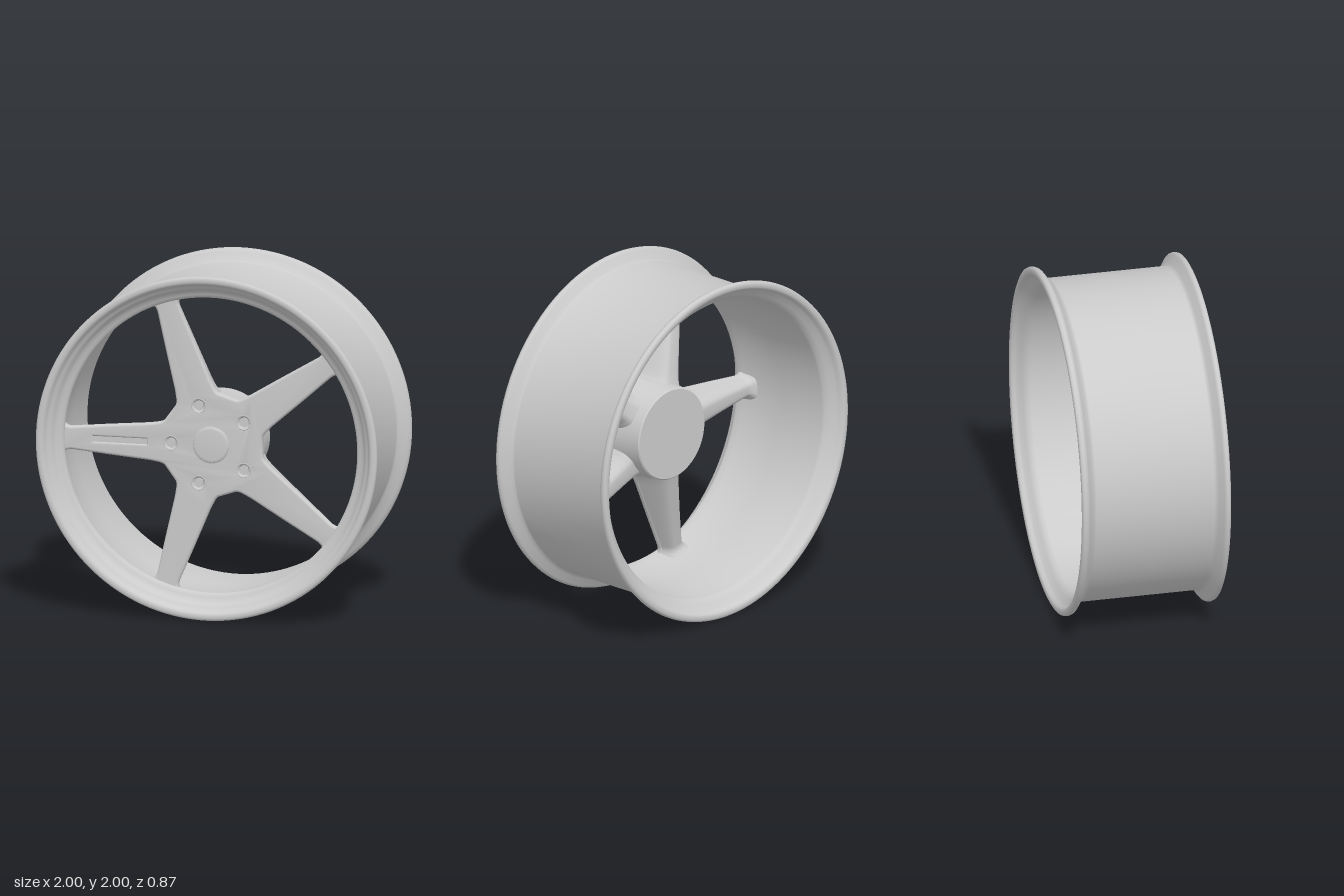
import * as THREE from 'three';
import { toCreasedNormals } from 'three/addons/utils/BufferGeometryUtils.js';

const material = new THREE.MeshStandardMaterial({ color: 0xcccccc });
const SPOKES = 5;
const spokeAngle = i => Math.PI + (i * 2 * Math.PI) / SPOKES;

// Spoke stations: [radius, half width, z of the back face]
const STATIONS = [
  [0.274, 0.132, 0.07], [0.286, 0.124, 0.073], [0.305, 0.118, 0.08], [0.36, 0.109, 0.094],
  [0.6, 0.088, 0.15], [0.82, 0.067, 0.195], [0.845, 0.071, 0.196], [0.862, 0.085, 0.188], [0.885, 0.11, 0.17],
];
const FACE_Z = 0.31;

function add(parent, name, geometry) {
  const mesh = new THREE.Mesh(geometry, material);
  mesh.name = name;
  parent.add(mesh);
  return mesh;
}

// Lathe of [radius, z] points around the z axis
function turned(points, segments, crease) {
  const geometry = new THREE.LatheGeometry(points.map(p => new THREE.Vector2(...p)), segments);
  geometry.rotateX(Math.PI / 2);
  return toCreasedNormals(geometry, crease);
}

// Five-armed front plate with holes for the nuts and a slot in one arm
function facePlate() {
  const outline = [];
  const centre = new THREE.Vector2();
  for (let i = 0; i < SPOKES; i++) {
    const local = [
      ...STATIONS.map(([r, w]) => new THREE.Vector2(r, -w)),
      ...[...STATIONS].reverse().map(([r, w]) => new THREE.Vector2(r, w)),
    ];
    outline.push(...local.map(p => p.rotateAround(centre, spokeAngle(i))));
  }
  const shape = new THREE.Shape(outline);
  for (let i = 0; i < SPOKES; i++) {
    const a = spokeAngle(i);
    shape.holes.push(new THREE.Path().absarc(0.236 * Math.cos(a), 0.236 * Math.sin(a), 0.027, 0, Math.PI * 2, true));
  }
  shape.holes.push(new THREE.Path([[-0.69, -0.014], [-0.69, 0.014], [-0.38, 0.014], [-0.38, -0.014]].map(p => new THREE.Vector2(...p))));
  const bevel = 0.016, depth = 0.012;
  const geometry = new THREE.ExtrudeGeometry(shape, {
    depth, bevelThickness: bevel, bevelSize: bevel, bevelOffset: -bevel, bevelSegments: 5, curveSegments: 16,
  });
  geometry.translate(0, 0, FACE_Z - depth - bevel);
  return toCreasedNormals(geometry, 0.6);
}

// Tapered, rounded body behind one arm, lofted along +x
function spokeBody() {
  const positions = [], index = [], steps = 20, front = 0.29;
  const rows = [[0.2, 0.16, 0.05], ...STATIONS];
  rows.forEach(([r, w, back]) => {
    for (let j = 0; j <= steps; j++) {
      const t = (j / steps) * Math.PI;
      // Rounded trapezoid, narrower at the back
      const drop = Math.pow(Math.sin(t), 0.5);
      const side = Math.sign(Math.cos(t)) * Math.pow(Math.abs(Math.cos(t)), 0.5);
      positions.push(r, w * side * (1 - 0.32 * drop), front - (front - back) * drop);
    }
  });
  for (let i = 0; i < rows.length - 1; i++) {
    for (let j = 0; j < steps; j++) {
      const a = i * (steps + 1) + j, b = a + steps + 1;
      index.push(a, b, a + 1, b, b + 1, a + 1);
    }
  }
  const geometry = new THREE.BufferGeometry();
  geometry.setAttribute('position', new THREE.Float32BufferAttribute(positions, 3));
  geometry.setIndex(index);
  geometry.computeVertexNormals();
  return geometry;
}

export function createModel() {
  const model = new THREE.Group();
  model.name = 'wheelRim';
  const wheel = new THREE.Group();
  wheel.name = 'wheel';
  wheel.position.y = 1;
  model.add(wheel);

  // Barrel with flared lips: up the outside, back down the inside
  add(wheel, 'barrel', turned([
    [0.965, -0.432], [0.985, -0.433], [0.996, -0.427], [1, -0.412], [0.994, -0.396], [0.978, -0.385],
    [0.955, -0.37], [0.938, -0.354], [0.929, -0.345], [0.926, -0.335], [0.926, 0.35], [0.929, 0.36],
    [0.945, 0.37], [0.965, 0.385], [0.985, 0.396], [0.996, 0.404], [1, 0.416], [0.996, 0.428], [0.985, 0.433],
    [0.968, 0.432], [0.957, 0.427], [0.95, 0.412], [0.942, 0.396], [0.93, 0.388], [0.92, 0.38],
    [0.911, 0.362], [0.9, 0.348], [0.88, 0.338], [0.867, 0.332], [0.859, 0.322], [0.858, 0.31], [0.863, 0.27],
    [0.878, 0.2], [0.882, 0], [0.882, -0.33], [0.886, -0.35], [0.91, -0.374], [0.938, -0.395],
    [0.948, -0.408], [0.955, -0.426], [0.965, -0.432],
  ], 128, 0.9));

  // Spokes and hub
  add(wheel, 'facePlate', facePlate());
  const body = spokeBody();
  for (let i = 0; i < SPOKES; i++) {
    add(wheel, 'spokeBody', body).rotation.z = spokeAngle(i);
  }
  add(wheel, 'hub', turned([
    [0, 0], [0.264, 0], [0.271, 0.007], [0.274, 0.06], [0.28, 0.13], [0.29, 0.2],
    [0.298, 0.25], [0.299, 0.28], [0.29, 0.288], [0.27, 0.284], [0, 0.284],
  ], 80, 0.7));

  // Floor of the shallow slot in the right-hand arm
  const floor = add(wheel, 'slotFloor', new THREE.BoxGeometry(0.37, 0.06, 0.02));
  floor.position.set(-0.535, 0, FACE_Z - 0.017);

  // Flat centre cap with a rounded edge
  add(wheel, 'centreCap', turned([
    [0.108, 0.3], [0.108, 0.311], [0.104, 0.312], [0.102, 0.317], [0.097, 0.32], [0.088, 0.321], [0, 0.321],
  ], 48, 0.6));

  // Hexagonal nuts seated in rimmed holes
  const nut = toCreasedNormals(new THREE.CylinderGeometry(0.03, 0.033, 0.03, 6).rotateX(Math.PI / 2), 0.5);
  const rim = new THREE.TorusGeometry(0.041, 0.003, 8, 32);
  for (let i = 0; i < SPOKES; i++) {
    const a = spokeAngle(i), x = 0.236 * Math.cos(a), y = 0.236 * Math.sin(a);
    add(wheel, 'wheelNut', nut).position.set(x, y, 0.291);
    add(wheel, 'nutHoleRim', rim).position.set(x, y, FACE_Z - 0.001);
  }
  return model;
}
